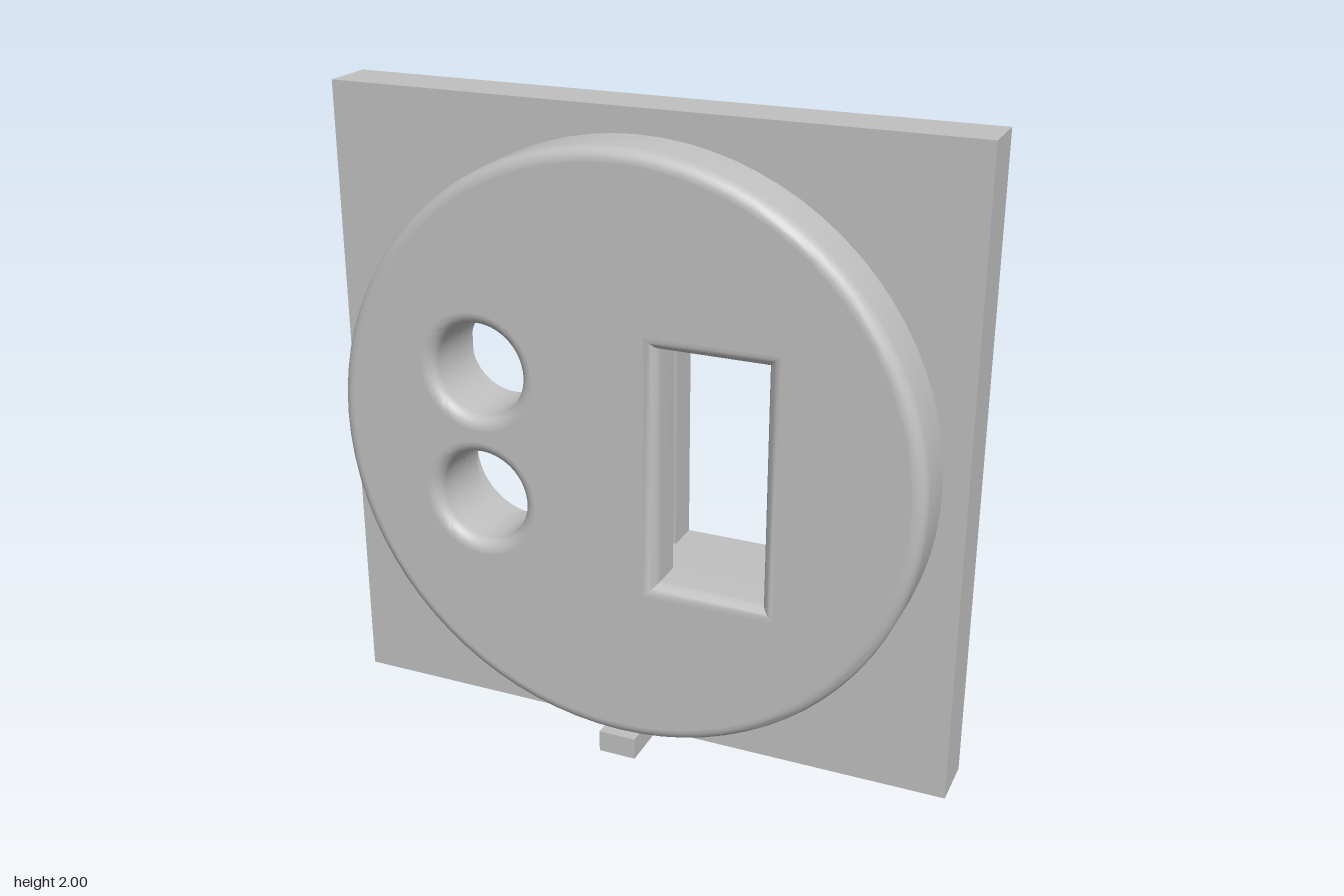
import * as THREE from 'three';
import { toCreasedNormals } from 'three/addons/utils/BufferGeometryUtils.js';

const SEG = 40;
const HOLE_X = -0.45, HOLE_Y = [0.8, 1.21];

const polygon = (pts) => new THREE.Shape(pts.map(([x, y]) => new THREE.Vector2(x, y)));
const rect = (x0, y0, x1, y1) => polygon([[x0, y0], [x1, y0], [x1, y1], [x0, y1]]);
const circle = (x, y, r) => new THREE.Shape().absarc(x, y, r, 0, Math.PI * 2);
const roundHoles = () => HOLE_Y.map((y) => circle(HOLE_X, y, 0.145));
const obround = () => new THREE.Shape()
  .absarc(HOLE_X, HOLE_Y[1], 0.205, 0, Math.PI)
  .absarc(HOLE_X, HOLE_Y[0], 0.205, Math.PI, Math.PI * 2);
const pocket = () => rect(0, 0.52, 0.59, 1.36);

// Straight extrusion of an outline with holes; bevel rounds the front edges only
function extrude(shape, holes, depth, bevel = 0) {
  shape.holes = holes;
  const raw = new THREE.ExtrudeGeometry(shape, {
    depth: depth - bevel, curveSegments: SEG, bevelEnabled: bevel > 0,
    bevelThickness: bevel, bevelSize: bevel, bevelOffset: -bevel, bevelSegments: 6,
  });
  const p = raw.attributes.position;
  for (let i = 0; i < p.count; i++) p.setZ(i, Math.max(0, p.getZ(i)));
  const geo = toCreasedNormals(raw, 0.55);
  // Keep the front cap perfectly flat
  const q = geo.attributes.position, n = geo.attributes.normal;
  for (let i = 0; i < q.count; i += 3) {
    if ([0, 1, 2].every((k) => q.getZ(i + k) > depth - 1e-5)) {
      for (let k = 0; k < 3; k++) n.setXYZ(i + k, 0, 0, 1);
    }
  }
  return geo;
}

export function createModel() {
  const group = new THREE.Group();
  group.name = 'wallSocketPanel';
  const grey = new THREE.MeshStandardMaterial({ color: 0xc0c0c0 });
  grey.name = 'grey';
  const add = (name, geo, x = 0, y = 0, z = 0) => {
    const mesh = new THREE.Mesh(geo, grey);
    mesh.name = name;
    mesh.position.set(x, y, z);
    group.add(mesh);
  };

  // Square plate, with a rounded recess behind the two holes
  add('backPlate', extrude(rect(-1, 0, 1, 2), [obround(), pocket()], 0.17), 0, 0, -0.06);
  add('recessFloor', extrude(obround(), roundHoles(), 0.06), 0, 0, 0.05);

  // Round face: pocket depth first, then the rounded front with the narrow slot
  add('discBase', extrude(circle(0, 1, 0.925), [...roundHoles(), pocket()], 0.045), 0, 0, 0.11);
  add('discFace', extrude(circle(0, 1, 0.925),
    [...roundHoles(), rect(0.13, 0.62, 0.46, 1.36)], 0.135, 0.04), 0, 0, 0.155);

  // Small tab below the disc
  add('bottomTab', new THREE.BoxGeometry(0.12, 0.07, 0.18), 0, 0.035, 0.2);

  // Holder on the back: sloped base and two L-shaped rails
  const base = polygon([[0.06, 0.24], [0.29, 0.48], [0.29, 0.52], [0.06, 0.52]]);
  add('holderBase', extrude(base, [], 0.93).rotateY(Math.PI / 2), -0.17);
  const rail = [[-0.17, 0.06], [-0.09, 0.06], [-0.09, 0.18], [0, 0.18], [0, 0.29], [-0.17, 0.29]];
  const rails = { rightRail: rail, leftRail: rail.map(([x, z]) => [0.59 - x, z]) };
  for (const [name, pts] of Object.entries(rails)) {
    add(name, extrude(polygon(pts), [], 0.84).rotateX(-Math.PI / 2), 0, 0.52);
  }
  return group;
}
